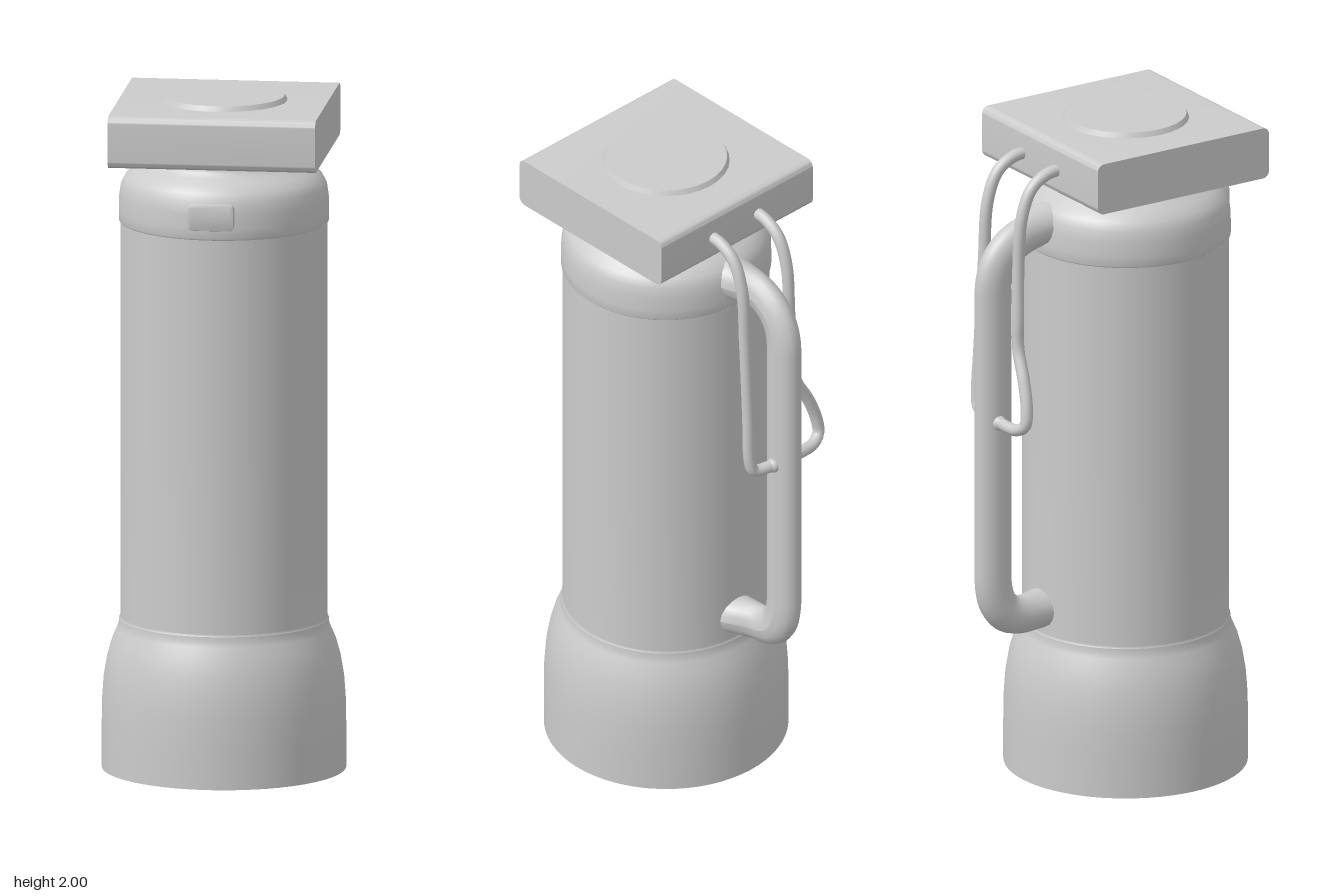
import * as THREE from 'three';
import { toCreasedNormals } from 'three/addons/utils/BufferGeometryUtils.js';

const AXIS_Z = 0.09; // body axis, offset forward to leave room for the handle
const material = new THREE.MeshStandardMaterial({ color: 0xcccccc });
const thin = new THREE.MeshStandardMaterial({ color: 0xcccccc, side: THREE.DoubleSide });

const v3 = (p) => new THREE.Vector3(...p);

function add(group, name, geometry, mat = material) {
  const mesh = new THREE.Mesh(geometry, mat);
  mesh.name = name;
  group.add(mesh);
  return mesh;
}

// Surface of revolution about the body axis, profile as [radius, y] from bottom to top
function lathe(group, name, profile) {
  const geometry = new THREE.LatheGeometry(profile.map(([r, y]) => new THREE.Vector2(r, y)), 64);
  add(group, name, geometry, thin).position.z = AXIS_Z;
}

function roundedRect(w, h, r) {
  const s = new THREE.Shape();
  const x = w / 2 - r, y = h / 2 - r;
  s.absarc(x, y, r, 0, Math.PI / 2);
  s.absarc(-x, y, r, Math.PI / 2, Math.PI);
  s.absarc(-x, -y, r, Math.PI, Math.PI * 1.5);
  s.absarc(x, -y, r, Math.PI * 1.5, Math.PI * 2);
  s.closePath();
  return s;
}

// Polyline whose corners are replaced by quadratic bends of the given size
function bentPath(points, bend) {
  const pts = points.map(v3);
  const path = new THREE.CurvePath();
  let from = pts[0];
  for (let i = 1; i < pts.length - 1; i++) {
    const step = (to) => {
      const d = to.clone().sub(pts[i]);
      return pts[i].clone().add(d.setLength(Math.min(bend, d.length() * 0.48)));
    };
    const a = step(pts[i - 1]), b = step(pts[i + 1]);
    path.add(new THREE.LineCurve3(from, a));
    path.add(new THREE.QuadraticBezierCurve3(a, pts[i], b));
    from = b;
  }
  path.add(new THREE.LineCurve3(from, pts[pts.length - 1]));
  return path;
}

// Wire with a round tip
function wire(group, name, points) {
  const path = new THREE.CatmullRomCurve3(points.map(v3), false, 'centripetal');
  add(group, name, new THREE.TubeGeometry(path, 80, 0.018, 12));
  const tip = add(group, name + 'Tip', new THREE.SphereGeometry(0.022, 16, 12));
  tip.position.copy(v3(points[points.length - 1]));
}

export function createModel() {
  const model = new THREE.Group();

  // Flared base with a closed underside
  lathe(model, 'base', [
    [0.357, 0], [0.357, 0.12], [0.356, 0.2], [0.351, 0.27], [0.341, 0.33],
    [0.327, 0.38], [0.312, 0.415], [0.307, 0.43], [0.306, 0.445],
  ]);
  const underside = add(model, 'underside', new THREE.CircleGeometry(0.357, 64));
  underside.rotation.x = Math.PI / 2;
  underside.position.z = AXIS_Z;

  // Straight barrel
  lathe(model, 'barrel', [[0.306, 0.445], [0.302, 0.452], [0.302, 1.0], [0.302, 1.625]]);

  // Collar band rounding in to the neck
  lathe(model, 'collar', [
    [0.3, 1.624], [0.307, 1.63], [0.307, 1.66], [0.306, 1.70], [0.301, 1.735], [0.288, 1.76],
    [0.265, 1.78], [0.24, 1.795], [0.224, 1.808], [0.218, 1.82], [0.217, 1.84],
  ]);

  // Square head, its rounded edges running from side to side
  const head = new THREE.ExtrudeGeometry(roundedRect(0.6, 0.155, 0.022), {
    depth: 0.61, bevelEnabled: false, curveSegments: 6,
  });
  head.translate(0, 0, -0.305).rotateY(Math.PI / 2);
  add(model, 'head', toCreasedNormals(head, 0.6)).position.set(0, 1.9075, AXIS_Z);

  // Raised cap disc on top of the head
  const disc = new THREE.CylinderGeometry(0.178, 0.188, 0.02, 32);
  add(model, 'capDisc', toCreasedNormals(disc, 0.5)).position.set(0, 1.99, AXIS_Z);

  // Small button plate on the front of the collar
  const button = new THREE.ExtrudeGeometry(roundedRect(0.125, 0.068, 0.012), {
    depth: 0.03, bevelThickness: 0.005, bevelSize: 0.005, bevelSegments: 2, curveSegments: 4,
  });
  add(model, 'frontButton', toCreasedNormals(button, 0.6)).position.set(0, 1.695, 0.376);

  // Handle: bent oval bar, spreading sideways where it meets the barrel
  const path = bentPath([
    [0, 1.735, -0.08], [0, 1.68, -0.388], [0, 0.525, -0.388], [0, 0.525, -0.16],
  ], 0.14);
  const handle = new THREE.TubeGeometry(path, 120, 0.058, 16);
  const pos = handle.attributes.position;
  for (let i = 0; i < pos.count; i++) {
    const flare = THREE.MathUtils.smoothstep(pos.getZ(i), -0.3, -0.19);
    pos.setX(i, pos.getX(i) * (0.74 + 0.4 * flare) - 0.02 * (1 - flare));
  }
  handle.computeVertexNormals();
  add(model, 'handle', handle);

  // Two wires hanging from the back of the head, hooked in to the handle
  wire(model, 'leftWire', [
    [0.095, 1.905, -0.18], [0.095, 1.9, -0.24], [0.095, 1.865, -0.295], [0.095, 1.78, -0.33],
    [0.095, 1.6, -0.343], [0.096, 1.35, -0.357], [0.097, 1.19, -0.366],
    [0.085, 1.155, -0.37], [0.02, 1.15, -0.385],
  ]);
  wire(model, 'rightWire', [
    [-0.085, 1.905, -0.18], [-0.085, 1.9, -0.24], [-0.085, 1.865, -0.295], [-0.085, 1.78, -0.33],
    [-0.085, 1.6, -0.343], [-0.095, 1.47, -0.35], [-0.1, 1.38, -0.352], [-0.14, 1.3, -0.36],
    [-0.168, 1.22, -0.368], [-0.17, 1.17, -0.375], [-0.14, 1.15, -0.385], [-0.06, 1.15, -0.392],
  ]);

  return model;
}
